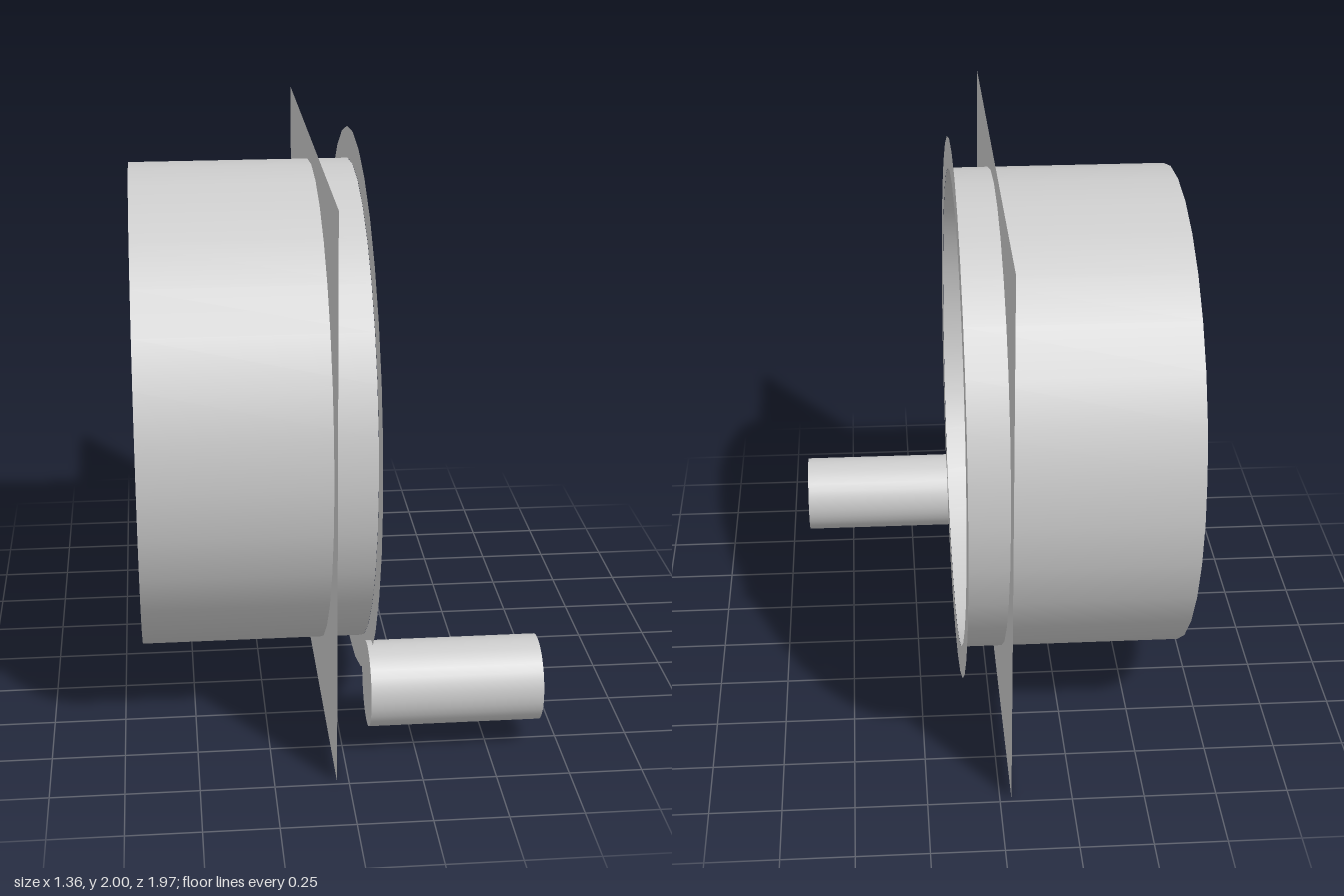
import * as THREE from 'three';

const CY = 1.016; // height of the dial axis

export function createModel() {
  const group = new THREE.Group();
  const grey = new THREE.MeshStandardMaterial({ color: 0xcccccc, side: THREE.DoubleSide });
  grey.name = 'light grey';

  const add = (name, geometry, x, y, z = 0) => {
    const mesh = new THREE.Mesh(geometry, grey);
    mesh.name = name;
    mesh.position.set(x, y, z);
    group.add(mesh);
  };
  // flat outline turned to face +x
  const flat = (points) =>
    new THREE.ShapeGeometry(new THREE.Shape(points.map(([u, v]) => new THREE.Vector2(u, v)))).rotateY(Math.PI / 2);
  // half outline mirrored about the vertical axis
  const mirrored = (half) => flat([...half, ...half.slice().reverse().map(([u, v]) => [-u, v])]);

  // open drum running from the back through the plate to the bezel
  add('housing', new THREE.CylinderGeometry(0.87, 0.87, 0.785, 32, 1, true).rotateZ(-Math.PI / 2), -0.288, CY);

  // square plate that also forms the dial face
  add('dialPlate', new THREE.PlaneGeometry(1.97, 1.974).rotateY(Math.PI / 2), -0.04, 0.987);

  // flat ring around the front opening
  add('bezel', new THREE.RingGeometry(0.87, 0.984, 32).rotateY(Math.PI / 2), 0.105, CY);

  // small window shaped as a ring sector
  add('dialWindow', new THREE.RingGeometry(0.468, 0.685, 4, 1, -0.229, 0.458).rotateY(Math.PI / 2), -0.015, CY + 0.008);

  // short flared hand behind the long pointed hand
  add('shortHand', mirrored([[0.082, -0.276], [0.036, -0.02], [0.043, 0.19], [0.02, 0.36]]), 0.01, CY);
  add('longHand', mirrored([[0.035, -0.322], [0.035, 0.594], [0.002, 0.672]]), 0.03, CY);

  // setting knob at the lower corner
  add('knob', new THREE.CylinderGeometry(0.147, 0.147, 0.59, 32).rotateZ(-Math.PI / 2), 0.381, 0.236, 0.742);

  return group;
}
